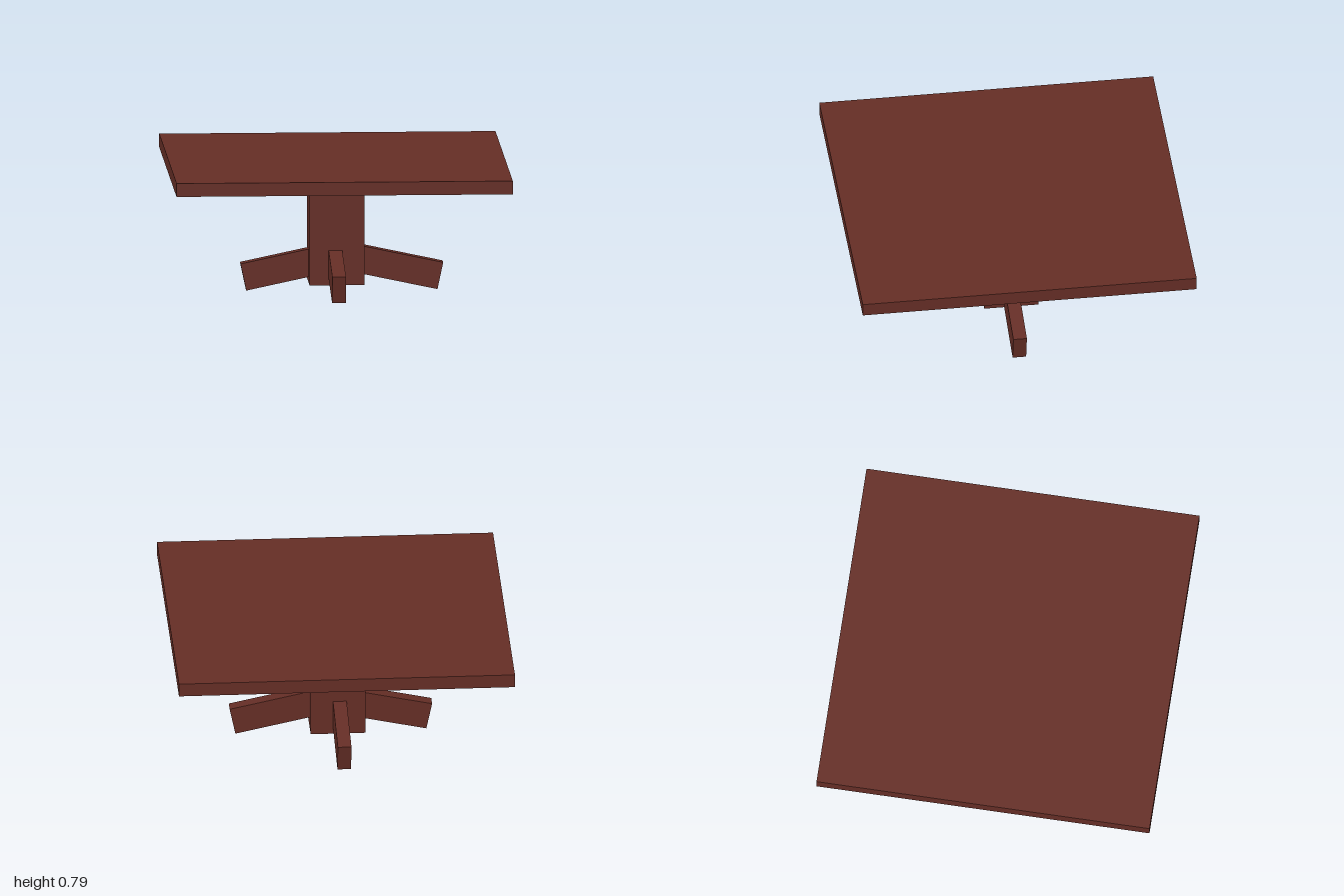
import * as THREE from 'three';

export function createModel() {
  const group = new THREE.Group();
  const wood = new THREE.MeshStandardMaterial({ color: 0x642d25 });
  wood.name = 'dark red wood';

  function box(name, w, h, d, x, y, z, parent = group) {
    const mesh = new THREE.Mesh(new THREE.BoxGeometry(w, h, d), wood);
    mesh.name = name;
    mesh.position.set(x, y, z);
    parent.add(mesh);
    return mesh;
  }

  // Square top and central column
  box('tableTop', 2, 0.08, 2, 0, 0.753, 0);
  box('column', 0.326, 0.664, 0.326, -0.002, 0.381, 0);

  // Four sloping feet: each pivots at its outer top corner and runs into the column
  const length = 0.55, height = 0.164, width = 0.081, slope = 0.21;
  const feet = [
    ['leftFoot', 0, 0.635],
    ['backFoot', Math.PI / 2, 0.605],
    ['rightFoot', Math.PI, 0.57],
    ['frontFoot', -Math.PI / 2, 0.605],
  ];
  for (const [name, turn, reach] of feet) {
    const foot = new THREE.Group();
    foot.name = name;
    foot.position.set(-0.012, 0, 0.01);
    // Reach is measured from the model's centre, so allow for the offset crossing
    const offset = -0.012 * Math.cos(turn) - 0.01 * Math.sin(turn);
    foot.rotation.y = turn;
    const tilt = new THREE.Group();
    tilt.position.set(reach - offset, 0.165, 0);
    tilt.rotation.z = -slope;
    box(name + 'Beam', length, height, width, -length / 2, -height / 2, 0, tilt);
    foot.add(tilt);
    group.add(foot);
  }
  return group;
}
